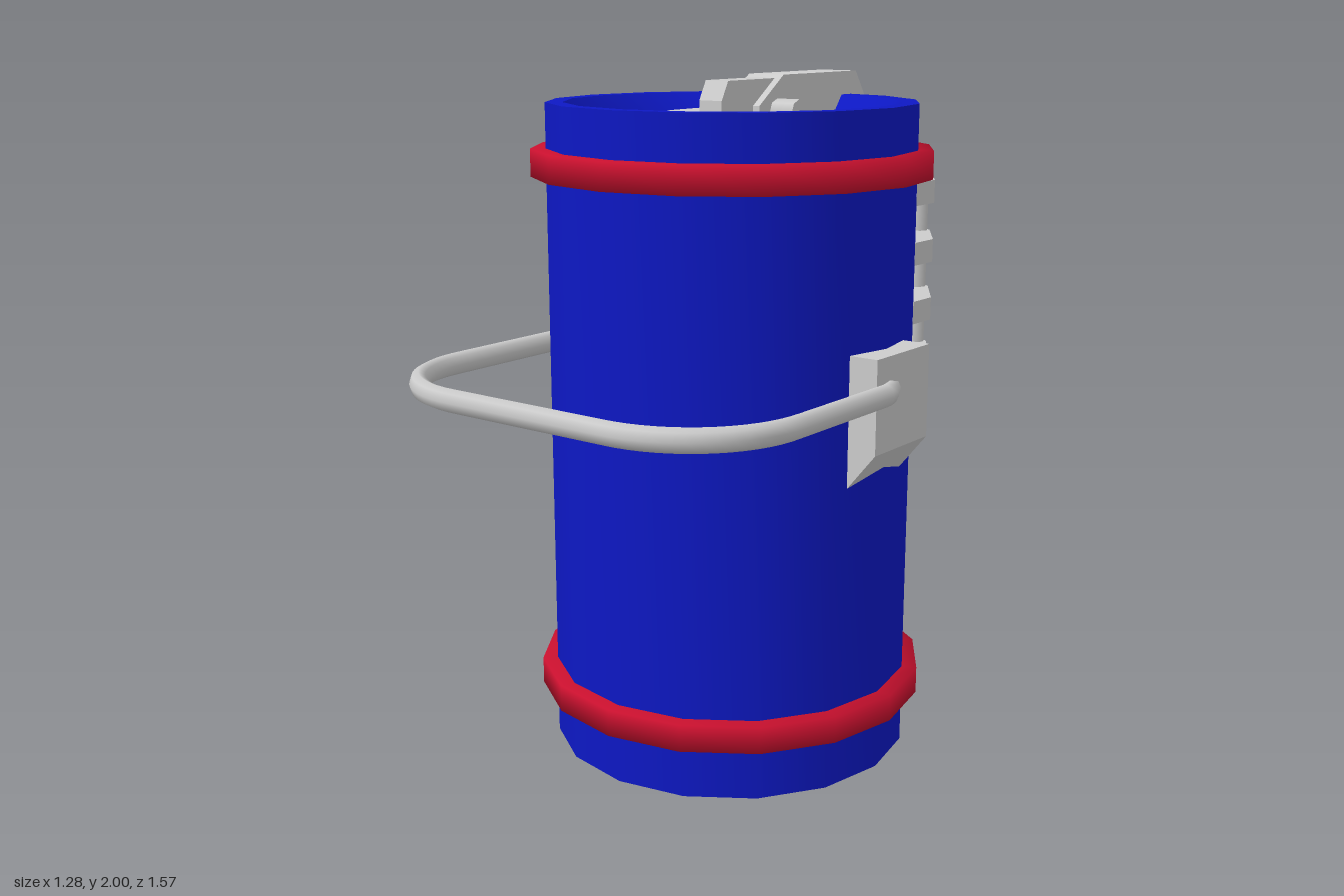
import * as THREE from 'three';
import { toCreasedNormals } from 'three/addons/utils/BufferGeometryUtils.js';
import { ConvexGeometry } from 'three/addons/geometries/ConvexGeometry.js';

const AXIS_Z = -0.125; // centre line of the canister
const SIDES = 16;

const material = (color, side = THREE.FrontSide) => new THREE.MeshStandardMaterial({ color, side });
const grey = material(0xcccccc);
const blue = material(0x0d18c4);
const red = material(0xc8102e);
const black = material(0x111111);

const shapeOf = (pts) => new THREE.Shape(pts.map(([a, b]) => new THREE.Vector2(a, b)));

// Outline in (x, z), extruded down from yTop
function slab(pts, yTop, height) {
  const g = new THREE.ExtrudeGeometry(shapeOf(pts), { depth: height, bevelEnabled: false });
  return g.rotateX(Math.PI / 2).translate(0, yTop, 0);
}

// Outline in (z, y), extruded to a width across x
function sideProfile(pts, width) {
  const g = new THREE.ExtrudeGeometry(shapeOf(pts), { depth: width, bevelEnabled: false });
  return g.translate(0, 0, -width / 2).rotateY(-Math.PI / 2);
}

function lathe(pts) {
  const g = new THREE.LatheGeometry(pts.map(([r, y]) => new THREE.Vector2(r, y)), SIDES);
  return g.translate(0, 0, AXIS_Z);
}

export function createModel() {
  const model = new THREE.Group();
  const add = (name, geometry, mat = grey) => {
    const mesh = new THREE.Mesh(geometry, mat);
    mesh.name = name;
    model.add(mesh);
    return mesh;
  };

  // Canister with a bevelled recess at the top
  const body = lathe([[0, 0], [0.54, 0], [0.54, 1.93], [0.49, 1.93], [0.44, 1.865], [0, 1.865]]);
  add('body', toCreasedNormals(body, 0.6), blue);
  const lid = new THREE.CylinderGeometry(0.44, 0.44, 0.02, SIDES);
  add('lid', lid.translate(0, 1.86, AXIS_Z), black);

  // Hoops
  for (const [name, y] of [['lowerHoop', 0.2], ['upperHoop', 1.76]]) {
    add(name, lathe([[0.5, y - 0.04], [0.585, y - 0.04], [0.585, y + 0.04], [0.5, y + 0.04]]), red);
  }

  // Valve plate, cross bar and lever on the lid
  add('valvePlate', slab([[-0.23, -0.32], [0.23, -0.32], [0.23, -0.02], [0.115, 0.08],
    [-0.115, 0.08], [-0.23, -0.02]], 1.895, 0.035));
  const crossBar = new THREE.CylinderGeometry(0.038, 0.038, 0.28, 8);
  add('crossBar', crossBar.rotateZ(Math.PI / 2).translate(0, 1.895, -0.26));
  add('lever', sideProfile([[-0.02, 1.88], [-0.02, 1.935], [-0.05, 1.99], [-0.3, 1.99], [-0.3, 1.88]], 0.08));

  // Pipe running up the back and over the rim
  add('pipe', toCreasedNormals(sideProfile([[-0.62, 0.03], [-0.67, 0.03], [-0.785, 0.11], [-0.785, 1.85],
    [-0.68, 2], [-0.29, 2], [-0.17, 1.915], [-0.17, 1.88], [-0.62, 1.88]], 0.125), 0.7));

  // Foot of the pipe: tapered block
  const foot = [];
  for (const s of [-1, 1]) {
    for (const y of [0.11, 0.39]) {
      for (const [x, z] of [[0.14, -0.62], [0.14, -0.72], [0.0625, -0.787]]) {
        foot.push(new THREE.Vector3(s * x, y, z));
      }
    }
    foot.push(new THREE.Vector3(s * 0.07, 0.025, -0.62), new THREE.Vector3(s * 0.0625, 0.025, -0.67));
  }
  add('pipeFoot', new ConvexGeometry(foot));

  for (const s of [-1, 1]) {
    const side = s > 0 ? 'left' : 'right';

    // Curved guard bars beside the pipe
    const band = [[0.05, -0.735], [0.235, -0.695], [0.39, -0.6], [0.5, -0.43], [0.5, -0.33],
      [0.36, -0.47], [0.2, -0.59], [0.05, -0.63]].map(([x, z]) => [s * x, z]);
    for (let i = 0; i < 4; i++) {
      add(side + 'GuardBar', toCreasedNormals(slab(band, 1.71 - i * 0.171, 0.066), 0.6));
    }
    for (const [x, z] of [[0.36, -0.582], [0.25, -0.652]]) {
      const post = new THREE.CylinderGeometry(0.029, 0.029, 0.51, 8);
      add(side + 'GuardPost', post.translate(s * x, 1.42, z));
    }

    // Handle bracket, tapered into the body below
    const bracket = new THREE.ExtrudeGeometry(
      shapeOf([[0.45, 1.27], [0.6, 1.27], [0.6, 1], [0.51, 0.89], [0.45, 0.89]].map(([x, y]) => [s * x, y])),
      { depth: 0.275, bevelEnabled: false });
    add(side + 'HandleBracket', bracket.translate(0, 0, -0.255));
  }

  // Carrying handle: a rounded loop, slightly taller than thick
  const v = (x, z) => new THREE.Vector3(x, 0, z);
  const path = new THREE.CurvePath();
  path.add(new THREE.LineCurve3(v(-0.57, -0.11), v(-0.613, -0.02)));
  path.add(new THREE.LineCurve3(v(-0.613, -0.02), v(-0.613, 0.42)));
  path.add(new THREE.CubicBezierCurve3(v(-0.613, 0.42), v(-0.613, 0.61), v(-0.46, 0.757), v(-0.27, 0.757)));
  path.add(new THREE.LineCurve3(v(-0.27, 0.757), v(0.27, 0.757)));
  path.add(new THREE.CubicBezierCurve3(v(0.27, 0.757), v(0.46, 0.757), v(0.613, 0.61), v(0.613, 0.42)));
  path.add(new THREE.LineCurve3(v(0.613, 0.42), v(0.613, -0.02)));
  path.add(new THREE.LineCurve3(v(0.613, -0.02), v(0.57, -0.11)));
  const handle = new THREE.TubeGeometry(path, 72, 0.027, 8);
  add('handle', handle.scale(1, 1.25, 1).translate(0, 1.168, 0), material(0xcccccc, THREE.DoubleSide));

  return model;
}
